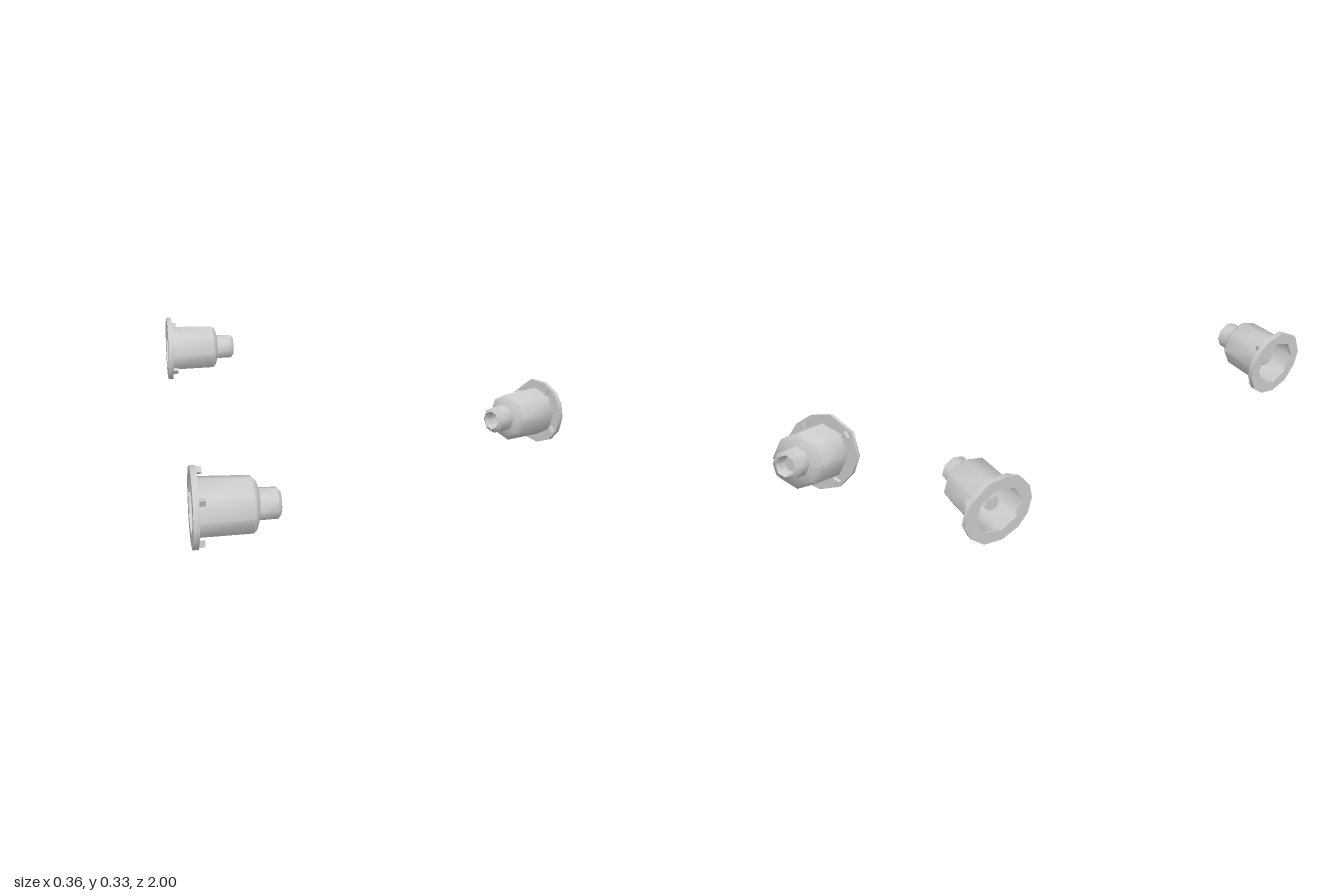
import * as THREE from 'three';
import { toCreasedNormals } from 'three/addons/utils/BufferGeometryUtils.js';

const AXIS_Y = 0.168, AXIS_Z = 0.832;
const material = new THREE.MeshStandardMaterial({ color: 0xcccccc });
const flat = new THREE.MeshStandardMaterial({ color: 0xcccccc, flatShading: true });

function mesh(name, geometry, mat = material) {
  const m = new THREE.Mesh(geometry, mat);
  m.name = name;
  return m;
}

// Turned part around the x axis from [x, radius] pairs
function turned(profile, sides, crease = 0.82) {
  const points = profile.map(([x, r]) => new THREE.Vector2(r, x));
  const g = new THREE.LatheGeometry(points, sides);
  g.rotateZ(-Math.PI / 2);
  return toCreasedNormals(g, crease);
}

// Irregular mounting plate with a round opening; side mirrors it in z
function flangeGeometry(side) {
  const outline = [[0, 0.168], [37, 0.168], [79, 0.169], [111, 0.166], [139, 0.167], [162, 0.167],
    [187, 0.167], [215, 0.168], [240, 0.168], [270, 0.168], [302, 0.169], [333, 0.165]];
  const shape = new THREE.Shape(outline.map(([deg, r]) => {
    const a = THREE.MathUtils.degToRad(deg);
    return new THREE.Vector2(-side * r * Math.cos(a), r * Math.sin(a));
  }));
  const hole = [];
  for (let i = 0; i < 8; i++) {
    const a = i * Math.PI / 4;
    hole.push(new THREE.Vector2(0.115 * Math.cos(a), 0.115 * Math.sin(a)));
  }
  shape.holes.push(new THREE.Path(hole));
  const g = new THREE.ExtrudeGeometry(shape, { depth: 0.025, bevelEnabled: false });
  g.rotateY(Math.PI / 2);
  g.translate(-0.18, 0, 0);
  return toCreasedNormals(g, 0.7);
}

function buildUnit(side) {
  const unit = new THREE.Group();
  unit.name = side > 0 ? 'frontUnit' : 'backUnit';
  unit.position.set(0, AXIS_Y, side * AXIS_Z);

  unit.add(mesh('flange', flangeGeometry(side)));

  // Hollow cup with a bevelled shoulder, open at the flange
  unit.add(mesh('cupBody', turned([
    [-0.17, 0.125], [0.063, 0.119], [0.078, 0.103], [0.09, 0.066],
    [0.08, 0.05], [0.055, 0.105], [-0.17, 0.115], [-0.17, 0.125],
  ], 8)));

  // Tapered nozzle with an open bore
  unit.add(mesh('nozzle', turned([
    [0.08, 0.068], [0.165, 0.065], [0.178, 0.046], [0.16, 0.04], [0.08, 0.04], [0.08, 0.068],
  ], 8)));

  // Six-sided core inside the cup
  const core = new THREE.CylinderGeometry(0.038, 0.038, 0.235, 6);
  core.rotateZ(-Math.PI / 2);
  core.translate(-0.0075, 0, 0);
  unit.add(mesh('core', core, flat));

  // Small three-sided lugs around the plate
  for (const deg of [38, 129, 217, 304]) {
    const a = THREE.MathUtils.degToRad(deg);
    const lug = new THREE.CylinderGeometry(0.018, 0.02, 0.03, 3);
    lug.rotateZ(-Math.PI / 2);
    lug.rotateX(-side * a);
    lug.translate(-0.143, 0.142 * Math.sin(a), side * 0.142 * Math.cos(a));
    unit.add(mesh('lug', lug, flat));
  }
  return unit;
}

export function createModel() {
  const model = new THREE.Group();
  model.name = 'cupPair';
  for (const side of [1, -1]) model.add(buildUnit(side));
  return model;
}
